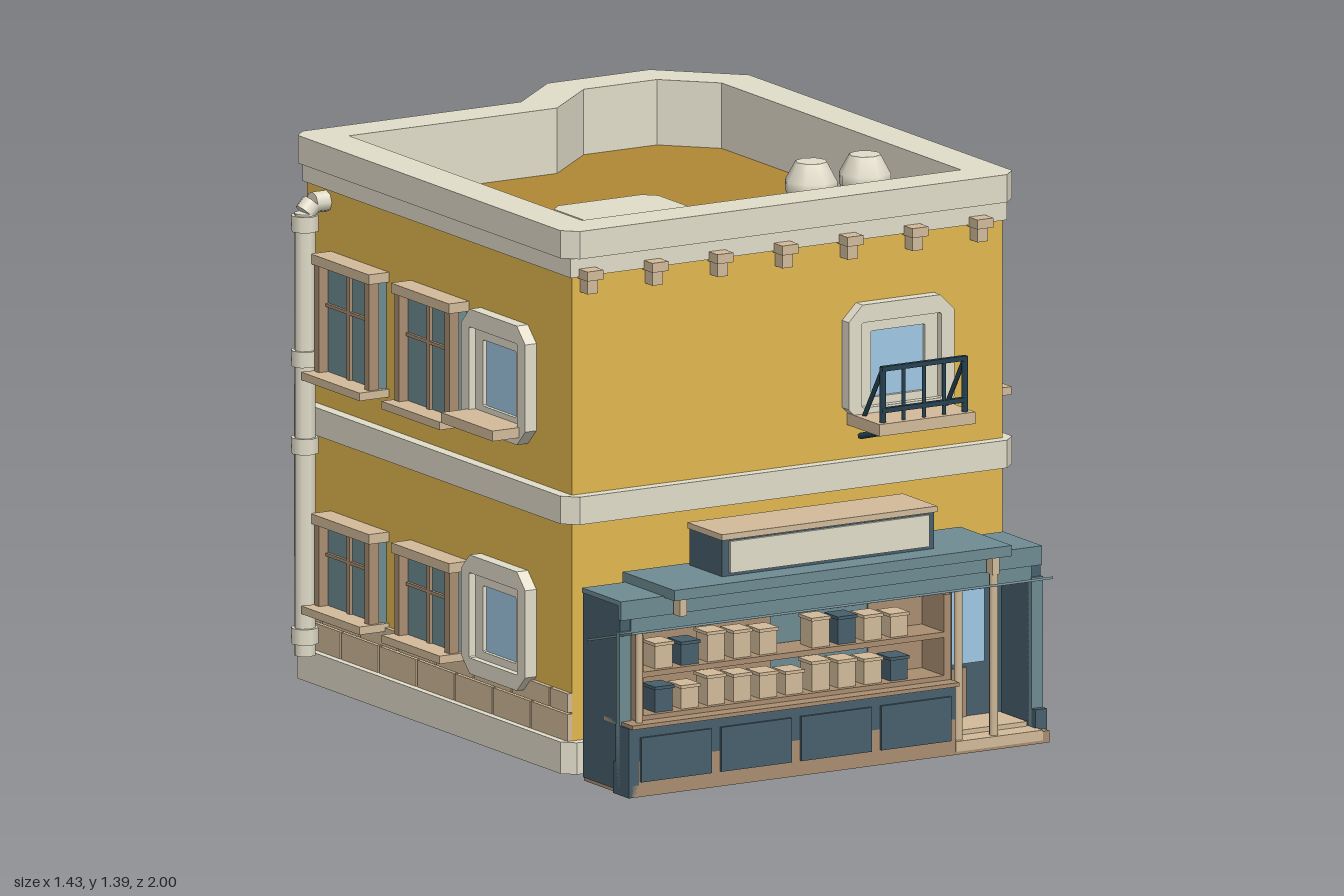
import * as THREE from 'three';

const mat = (name, color) => {
  const m = new THREE.MeshStandardMaterial({ color });
  m.name = name;
  return m;
};
const GOLD = mat('goldWall', 0xe2b850), CREAM = mat('creamStone', 0xe2ddca), TAN = mat('tanStone', 0xd2bb99),
  BROWN = mat('brownWood', 0xaa8e71), SLATE = mat('slatePaint', 0x475f6c), TEAL = mat('tealPaint', 0x6e8b92),
  ROOF = mat('ochreRoof', 0xb08835), GREEN = mat('leafGreen', 0x58a850), SKY = mat('blueGlass', 0xa0c8e4),
  NAVY = mat('navyIron', 0x264250);

const add = (parent, name, geo, material) => {
  const m = new THREE.Mesh(geo, material);
  m.name = name;
  parent.add(m);
  return m;
};
// Box given by its minimum and maximum on each axis
const box = (p, name, m, x0, x1, y0, y1, z0, z1) => {
  const b = add(p, name, new THREE.BoxGeometry(x1 - x0, y1 - y0, z1 - z0), m);
  b.position.set((x0 + x1) / 2, (y0 + y1) / 2, (z0 + z1) / 2);
  return b;
};
// Round bar between two points
const bar = (p, name, m, a, b, r, sides = 6) => {
  const A = new THREE.Vector3(...a), d = new THREE.Vector3(...b).sub(A);
  const c = add(p, name, new THREE.CylinderGeometry(r, r, d.length(), sides), m);
  c.position.copy(A).addScaledVector(d, 0.5);
  c.quaternion.setFromUnitVectors(new THREE.Vector3(0, 1, 0), d.normalize());
};
const lathe = (pts, sides) => new THREE.LatheGeometry(pts.map(q => new THREE.Vector2(...q)), sides);
const toShape = (pts, hole) => {
  const s = new THREE.Shape(pts.map(q => new THREE.Vector2(...q)));
  if (hole) s.holes.push(new THREE.Path(hole.map(q => new THREE.Vector2(...q))));
  return s;
};
// Floor-plan outline (x, z) raised from y0 to y1
const raise = (p, name, m, pts, y0, y1, hole) => {
  const f = a => a && a.map(([x, z]) => [x, -z]);
  const g = new THREE.ExtrudeGeometry(toShape(f(pts), f(hole)), { depth: y1 - y0, bevelEnabled: false });
  g.rotateX(-Math.PI / 2).translate(0, y0, 0);
  add(p, name, g, m);
};
// Rectangle with cut corners
const octagon = (x0, x1, y0, y1, c) => [[x0 + c, y0], [x1 - c, y0], [x1, y0 + c], [x1, y1 - c],
  [x1 - c, y1], [x0 + c, y1], [x0, y1 - c], [x0, y0 + c]];

const PLAN = [[-0.61, 0.665], [0.63, 0.665], [0.63, -0.575], [0.47, -0.735], [0.2, -0.735], [0.035, -0.59], [-0.61, -0.59]];
// Plan moved outwards by d; square corners are cut by c
function outline(d, c = 0) {
  const n = PLAN.length, out = [];
  const dir = (a, b) => new THREE.Vector2(b[0] - a[0], b[1] - a[1]).normalize();
  PLAN.forEach((q, i) => {
    const u = dir(PLAN[(i + n - 1) % n], q), v = dir(q, PLAN[(i + 1) % n]);
    const k = d / (1 + u.dot(v));
    const x = q[0] - (u.y + v.y) * k, z = q[1] + (u.x + v.x) * k;
    if (c && Math.abs(u.dot(v)) < 0.1) out.push([x - u.x * c, z - u.y * c], [x + v.x * c, z + v.y * c]);
    else out.push([x, z]);
  });
  return out;
}
// Group whose local z points out of a wall
const onWall = (root, name, x, z, turn, build) => {
  const g = new THREE.Group();
  g.name = name;
  g.position.set(x, 0, z);
  g.rotation.y = turn;
  build(g);
  root.add(g);
};

// Side window: glazed box, frame, lintel, sill and cross bars
const sideWindow = (y0, y1) => g => {
  const w = 0.126;
  box(g, 'windowGlass', TEAL, -w, w, y0, y1 - 0.01, 0, 0.026);
  for (const s of [-1, 1]) box(g, 'windowJamb', BROWN, s * 0.119 - 0.011, s * 0.119 + 0.011, y0, y1 - 0.01, 0.024, 0.052);
  box(g, 'windowLintel', TAN, -w - 0.012, w + 0.012, y1 - 0.025, y1, 0, 0.058);
  box(g, 'windowSill', TAN, -w - 0.012, w + 0.012, y0, y0 + 0.02, 0, 0.085);
  box(g, 'windowMullion', BROWN, -0.007, 0.007, y0, y1 - 0.02, 0.02, 0.034);
  const t = y0 + (y1 - y0) * 0.6;
  box(g, 'windowTransom', BROWN, -w + 0.02, w - 0.02, t - 0.004, t + 0.004, 0.02, 0.034);
};
// Stone-framed window
const stoneWindow = (y0, y1, sill) => g => {
  const ring = (name, w, a, b, cut, hw, h0, h1, depth) => add(g, name, new THREE.ExtrudeGeometry(
    toShape(octagon(-w, w, a, b, cut), octagon(-hw, hw, h0, h1, 0.003)), { depth, bevelEnabled: false }), CREAM);
  ring('stoneFrame', 0.152, y0, y1, 0.04, 0.114, y0 + 0.04, y1 - 0.045, 0.032);
  ring('innerFrame', 0.13, y0 + 0.02, y1 - 0.025, 0.02, 0.078, y0 + 0.06, y1 - 0.073, 0.014);
  box(g, 'framedGlass', SKY, -0.085, 0.085, y0 + 0.055, y1 - 0.068, 0, 0.004);
  if (sill) box(g, 'stoneSill', TAN, -0.122, 0.122, y0 + 0.02, y0 + 0.046, 0, 0.108);
};
// Balcony slab, railing and struts
const balcony = g => {
  stoneWindow(0.79, 1.09, false)(g);
  box(g, 'balconySlab', TAN, -0.138, 0.138, 0.785, 0.815, 0, 0.155);
  for (const y of [0.95, 0.845]) box(g, 'balconyRail', NAVY, -0.122, 0.122, y - 0.006, y + 0.006, 0.13, 0.143);
  for (let i = -2; i <= 2; i++) bar(g, 'balconyPost', NAVY, [i * 0.058, 0.815, 0.137], [i * 0.058, 0.95, 0.137], 0.005);
  for (const x of [-0.118, 0.118]) {
    bar(g, 'cornerPost', NAVY, [x, 0.815, 0.137], [x, 0.955, 0.137], 0.008);
    bar(g, 'sideStay', NAVY, [x, 0.95, 0.137], [x, 0.815, 0.05], 0.006);
    bar(g, 'balconyStrut', NAVY, [x, 0.785, 0.12], [x, 0.76, 0.03], 0.008);
  }
};
// Two courses of bricks between local x0 and x1
const bricks = (x0, x1) => g => {
  [[0.08, 0.148, 0], [0.152, 0.2, 0.09]].forEach(([a, b, shift]) => {
    for (let x = x0 - shift; x < x1 - 0.01; x += 0.18) {
      box(g, 'brick', TAN, Math.max(x, x0) + 0.002, Math.min(x + 0.176, x1), a, b, -0.005, 0.012);
    }
  });
};
const cornice = (z, y) => g => {
  box(g, 'corniceBlock', TAN, z - 0.015, z + 0.015, y, y + 0.04, 0, 0.035);
  box(g, 'corniceCap', TAN, z - 0.023, z + 0.023, y + 0.036, y + 0.06, 0, 0.048);
};

function building(root) {
  // Walls, bands and roof
  const base = [[-0.61, 0.69], [0.63, 0.69], [0.66, 0.66], [0.66, -0.59], [0.48, -0.77], [0.48, -0.94], [0.42, -1],
    [-0.07, -1], [-0.13, -0.94], [-0.13, -0.62], [-0.215, -0.62], [-0.215, -0.58], [-0.395, -0.58], [-0.395, -0.62],
    [-0.61, -0.62], [-0.64, -0.59], [-0.64, 0.66]];
  const bed = [[0.455, -0.72], [0.455, -0.93], [0.41, -0.975], [-0.06, -0.975], [-0.105, -0.93], [-0.105, -0.585], [0.04, -0.585], [0.2, -0.72]];
  raise(root, 'basePlate', CREAM, base, 0, 0.02);
  raise(root, 'baseRim', CREAM, base, 0.02, 0.08, bed);
  raise(root, 'planterSoil', BROWN, bed, 0.02, 0.06);
  raise(root, 'walls', GOLD, PLAN, 0.02, 1.2);
  raise(root, 'upperWall', GOLD, PLAN, 1.2, 1.25, outline(-0.03));
  raise(root, 'middleBand', CREAM, outline(0.03, 0.035), 0.63, 0.7);
  raise(root, 'parapetLining', CREAM, outline(-0.03), 1.2, 1.3, outline(-0.075));
  raise(root, 'topTrim', CREAM, outline(0.008), 1.25, 1.3, outline(-0.03));
  raise(root, 'parapet', CREAM, outline(0.03, 0.035), 1.3, 1.37, outline(-0.075));
  raise(root, 'roofFloor', ROOF, outline(-0.07), 1.2, 1.205);
  raise(root, 'roofHatch', CREAM, octagon(-0.3, 0, 0.04, 0.35, 0.03), 1.2, 1.27);
  // Chimney vents
  for (const x of [0.24, 0.395]) {
    const pipe = add(root, 'ventPipe', new THREE.CylinderGeometry(0.052, 0.052, 0.08, 8), CREAM);
    pipe.position.set(x, 1.24, 0.4);
    const head = lathe([[0.045, 0.08], [0.066, 0.115], [0.066, 0.145], [0.04, 0.192]], 8);
    add(root, 'ventHead', head, CREAM).position.set(x, 1.2, 0.4);
    const top = new THREE.CircleGeometry(0.04, 8).rotateX(-Math.PI / 2);
    add(root, 'ventTop', top, CREAM).position.set(x, 1.392, 0.4);
  }
  // Windows and balconies on every wall
  const R = Math.PI / 2;
  for (const [a, b] of [[0.78, 1.095], [0.19, 0.44]]) {
    for (const z of [0.43, 0.045, -0.34]) onWall(root, 'rightWindow', 0.63, z, R, sideWindow(a, b));
    for (const z of [0.04, -0.34]) onWall(root, 'leftWindow', -0.61, z, -R, sideWindow(a, b));
  }
  for (const [y, sill] of [[0.79, true], [0.17, false]]) {
    onWall(root, 'sideStoneWindow', -0.61, 0.345, -R, stoneWindow(y, y + 0.3, sill));
    onWall(root, 'bayWindow', 0.325, -0.735, 2 * R, stoneWindow(y, y + 0.3, sill));
  }
  onWall(root, 'frontBalcony', 0.32, 0.665, 0, balcony);
  onWall(root, 'backBalcony', -0.305, -0.59, 2 * R, balcony);
  // Brick courses
  onWall(root, 'rightBricks', 0.63, 0, R, bricks(-0.665, 0.57));
  onWall(root, 'leftBricks', -0.61, 0, -R, bricks(-0.59, 0.665));
  onWall(root, 'backBricks', 0, -0.59, 2 * R, bricks(-0.035, 0.16));
  onWall(root, 'backCornerBricks', 0, -0.59, 2 * R, bricks(0.45, 0.61));
  box(root, 'meterBox', TAN, -0.09, -0.035, 0.18, 0.24, -0.62, -0.59);
  // Cornice brackets
  for (let i = -3; i <= 3; i++) {
    onWall(root, 'frontBracket', 0, 0.665, 0, cornice(-0.01 + i * 0.187, 1.21));
    onWall(root, 'rightBracket', 0.64, 0, R, cornice(-0.01 + i * 0.187, 1.285));
  }
  // Back door
  onWall(root, 'backDoor', -0.305, -0.59, 2 * R, g => {
    const o = [[-0.145, 0], [-0.09, 0], [-0.09, 0.455], [0.09, 0.455], [0.09, 0], [0.145, 0], [0.145, 0.47], [0.105, 0.515], [-0.105, 0.515], [-0.145, 0.47]];
    add(g, 'doorFrame', new THREE.ExtrudeGeometry(toShape(o), { depth: 0.045, bevelEnabled: false }), CREAM);
    box(g, 'doorLeaf', ROOF, -0.09, 0.09, 0.02, 0.455, 0, 0.012);
    box(g, 'doorGlass', SKY, -0.05, 0.05, 0.27, 0.41, 0.01, 0.017);
    box(g, 'doorLowerGlass', SKY, -0.05, 0.05, 0.08, 0.22, 0.01, 0.017);
    box(g, 'doorHandle', TAN, 0.065, 0.08, 0.225, 0.255, 0.01, 0.035);
  });
  // Drainpipe
  const path = [[-0.672, 0.08, -0.5], [-0.672, 1.195, -0.5], [-0.65, 1.218, -0.5], [-0.6, 1.218, -0.5]];
  for (let i = 0; i < 3; i++) bar(root, 'drainPipe', CREAM, path[i], path[i + 1], 0.027, 8);
  for (const y of [0.13, 0.61, 0.83, 1.17]) bar(root, 'pipeCollar', CREAM, [-0.672, y - 0.02, -0.5], [-0.672, y + 0.02, -0.5], 0.035, 8);
  // Round bushes
  for (const [x, z, h] of [[0.06, -0.79, 0.8], [0.285, -0.865, 1]]) {
    const b = add(root, 'bush', lathe([[0.078, 0], [0.112, 0.115], [0.064, 0.215], [0, 0.218]], 6), GREEN);
    b.position.set(x, 0.058, z);
    b.scale.y = h;
  }
}

function shop(root) {
  const s = new THREE.Group();
  s.name = 'shopFront';
  root.add(s);
  // Shell
  box(s, 'shopFloor', BROWN, -0.63, 0.57, 0, 0.03, 0.755, 0.985);
  box(s, 'shopBackWall', SLATE, -0.62, 0.56, 0.03, 0.385, 0.755, 0.775);
  box(s, 'leftWall', SLATE, -0.635, -0.605, 0.01, 0.48, 0.76, 0.935);
  box(s, 'rightWall', SLATE, 0.545, 0.575, 0.01, 0.48, 0.76, 0.935);
  for (const [a, b] of [[-0.64, -0.608], [0.545, 0.578]]) {
    box(s, 'pilaster', TEAL, a, b, 0.02, 0.41, 0.925, 0.942);
    box(s, 'pilasterFoot', SLATE, a, b, 0, 0.08, 0.91, 0.96);
  }
  // Roof, awning and sign
  box(s, 'shopCornice', TEAL, -0.606, 0.546, 0.405, 0.475, 0.765, 0.94);
  box(s, 'corniceLip', TEAL, -0.638, 0.574, 0.44, 0.485, 0.93, 0.945);
  box(s, 'corniceTop', TEAL, -0.638, 0.574, 0.476, 0.488, 0.76, 0.945);
  box(s, 'shopRoof', TEAL, -0.515, 0.457, 0.485, 0.512, 0.75, 0.995);
  box(s, 'awning', TEAL, -0.638, 0.574, 0.386, 0.392, 0.78, 1.0).rotation.x = -0.26;
  box(s, 'signBox', SLATE, -0.335, 0.275, 0.51, 0.605, 0.77, 0.925);
  box(s, 'signPanel', CREAM, -0.315, 0.258, 0.52, 0.6, 0.924, 0.932);
  box(s, 'signCap', TAN, -0.34, 0.28, 0.605, 0.62, 0.768, 0.932);
  // Counter with four panels
  box(s, 'counterFoot', BROWN, -0.61, 0.3, 0, 0.09, 0.92, 0.985);
  box(s, 'counterEnd', SLATE, -0.64, -0.61, 0, 0.175, 0.92, 0.985);
  box(s, 'counterBoard', SLATE, -0.61, 0.3, 0.09, 0.175, 0.92, 0.985);
  box(s, 'counterTop', BROWN, -0.635, 0.305, 0.174, 0.184, 0.86, 0.995);
  for (let i = 0; i < 4; i++) {
    const x = -0.607 + i * 0.23;
    box(s, 'counterPanel', SLATE, x, x + 0.202, 0.038, 0.15, 0.983, 0.992);
  }
  // Shelves and goods
  box(s, 'shelfBack', BROWN, -0.59, -0.15, 0.18, 0.39, 0.84, 0.85);
  box(s, 'shelfBackTeal', TEAL, -0.15, 0.13, 0.18, 0.41, 0.835, 0.845);
  box(s, 'shelfBackRight', BROWN, 0.13, 0.3, 0.18, 0.39, 0.84, 0.85);
  for (const y of [0.19, 0.3]) {
    box(s, 'shelf', BROWN, -0.59, 0.3, y - 0.008, y + 0.006, 0.85, 0.955);
    for (let i = 0; i < 10; i++) {
      const x = -0.512 + i * 0.0752, h = 0.058 + 0.016 * ((i * 3 + 1) % 4) / 3;
      const dark = y > 0.25 ? i === 1 || i === 7 : i === 0 || i === 9;
      if (y > 0.25 && i === 5) continue;
      box(s, 'goods', dark ? SLATE : TAN, x - 0.025, x + 0.025, y + 0.006, y + h, 0.885, 0.94);
      box(s, 'goodsLid', dark ? SLATE : TAN, x - 0.028, x + 0.028, y + h, y + h + 0.008, 0.88, 0.944);
    }
  }
  for (const x of [-0.59, 0.295]) box(s, 'shelfSide', BROWN, x - 0.01, x + 0.01, 0.18, 0.4, 0.85, 0.955);
  // Entrance
  box(s, 'entranceWall', SLATE, 0.305, 0.545, 0.03, 0.41, 0.775, 0.8);
  box(s, 'entrancePartition', SLATE, 0.3, 0.33, 0.03, 0.41, 0.775, 0.92);
  box(s, 'entranceGlass', SKY, 0.355, 0.492, 0.18, 0.37, 0.798, 0.806);
  box(s, 'entrancePanel', BROWN, 0.385, 0.44, 0.04, 0.17, 0.798, 0.806);
  box(s, 'step', TAN, 0.3, 0.55, 0.008, 0.034, 0.85, 0.988);
  box(s, 'upperStep', TAN, 0.32, 0.54, 0.028, 0.046, 0.8, 0.93);
  for (const [x, y] of [[0.318, 0.41], [0.42, 0.485]]) bar(s, 'entrancePole', TAN, [x, 0.03, 0.968], [x, y, 0.968], 0.011, 8);
  bar(s, 'leftPole', TAN, [-0.6, 0.18, 0.968], [-0.6, 0.41, 0.968], 0.009, 8);
  for (const x of [-0.48, 0.42]) box(s, 'roofBracket', TAN, x - 0.01, x + 0.01, 0.44, 0.485, 0.95, 0.98);
}

export function createModel() {
  const root = new THREE.Group();
  root.name = 'cornerShopBuilding';
  building(root);
  shop(root);
  return root;
}
